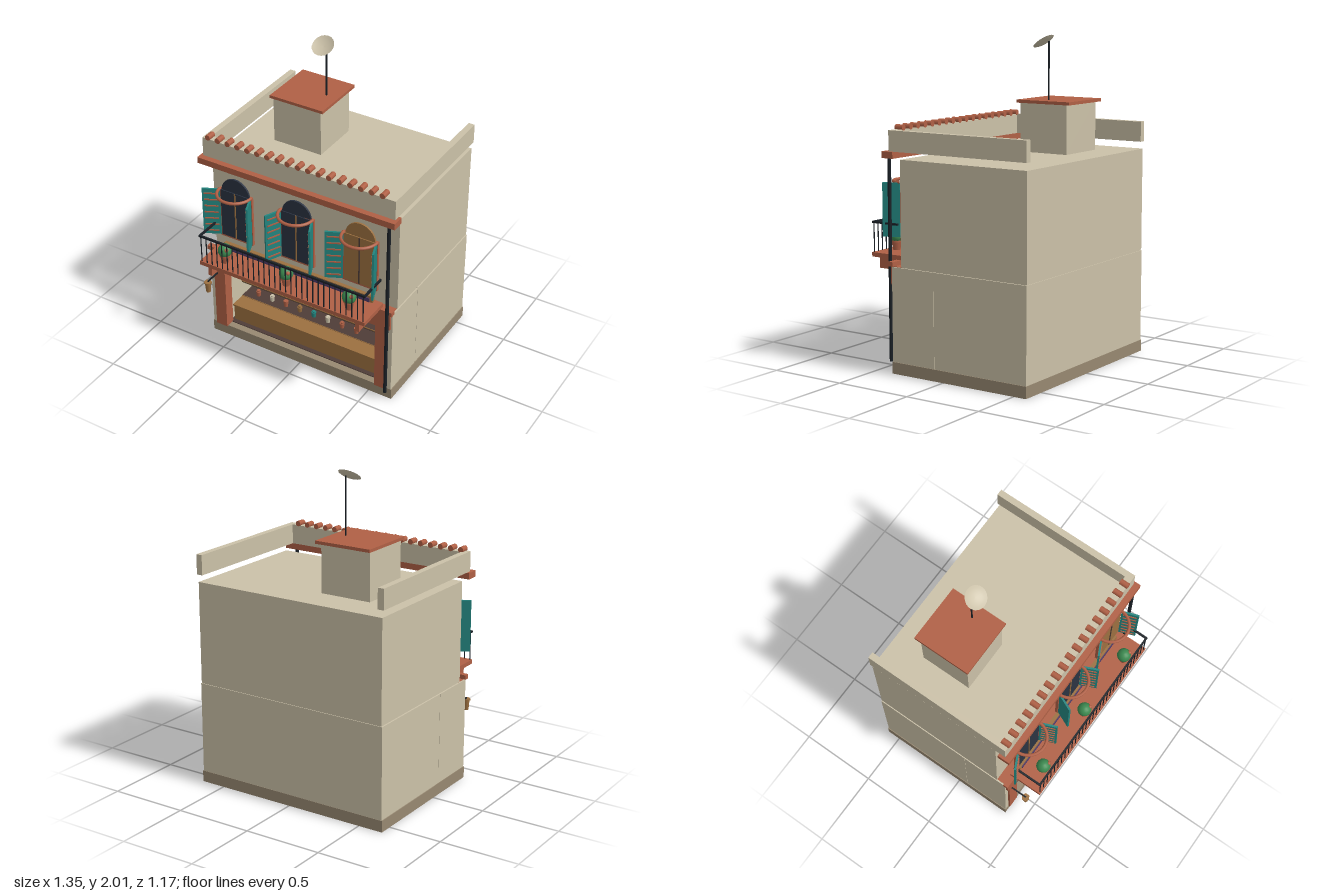
import * as THREE from 'three';

const mat = (name, color, side = THREE.FrontSide) => {
  const m = new THREE.MeshStandardMaterial({ color, side });
  m.name = name;
  return m;
};

export function createModel() {
  const cream = mat('cream plaster', 0xcbc1a8, THREE.DoubleSide);
  const clay = mat('terracotta', 0xb06045);
  const teal = mat('teal paint', 0x23857f);
  const glass = mat('dark glass', 0x2b3342);
  const wood = mat('ochre wood', 0x9c7040);
  const brown = mat('dark brown', 0x4f3d37);
  const green = mat('leaf green', 0x3c8a50);
  const purple = mat('purple cloth', 0x4f3a68);
  const iron = mat('black iron', 0x1a2026);
  const stone = mat('stone', 0x978871);

  const root = new THREE.Group();
  root.name = 'shopHouse';

  const add = (name, geo, material, x = 0, y = 0, z = 0, parent = root) => {
    const m = new THREE.Mesh(geo, material);
    m.name = name;
    m.position.set(x, y, z);
    parent.add(m);
    return m;
  };
  // Box given by its limits on each axis
  const box = (name, material, x0, x1, y0, y1, z0, z1, parent = root) =>
    add(name, new THREE.BoxGeometry(x1 - x0, y1 - y0, z1 - z0), material,
      (x0 + x1) / 2, (y0 + y1) / 2, (z0 + z1) / 2, parent);
  const cyl = (name, material, rTop, rBottom, y0, y1, x, z, sides = 10, parent = root) =>
    add(name, new THREE.CylinderGeometry(rTop, rBottom, y1 - y0, sides), material, x, (y0 + y1) / 2, z, parent);

  // Main masses
  box('base', stone, -0.66, 0.66, 0, 0.072, -0.585, 0.375);
  box('lowerBody', cream, -0.655, 0.655, 0.072, 0.65, -0.583, 0.065);
  box('upperBody', cream, -0.65, 0.65, 0.655, 1.295, -0.583, 0.31);
  box('floorJoint', cream, -0.645, 0.645, 0.65, 0.655, -0.578, 0.31);
  for (const s of [-1, 1]) {
    const a = s < 0 ? -0.655 : 0.56, b = s < 0 ? -0.56 : 0.655;
    box('shopSideWall', cream, a, b, 0.072, 0.65, 0.067, 0.33);
    box('wallEnd', cream, s < 0 ? -0.655 : 0.615, s < 0 ? -0.615 : 0.655, 0.072, 0.65, 0.33, 0.375);
    box('shopPillar', clay, s < 0 ? -0.625 : 0.545, s < 0 ? -0.545 : 0.625, 0.072, 0.54, 0.32, 0.388);
    box('sideParapet', cream, s < 0 ? -0.66 : 0.62, s < 0 ? -0.62 : 0.66, 1.34, 1.465, -0.585, 0.34);
  }
  box('lintel', clay, -0.645, 0.645, 0.54, 0.653, 0.305, 0.39);
  box('stringCourse', clay, -0.66, 0.66, 0.652, 0.68, 0.365, 0.398);
  box('frontParapet', cream, -0.66, 0.66, 1.34, 1.465, 0.34, 0.387);
  box('cornice', clay, -0.677, 0.677, 1.3, 1.34, 0.345, 0.425);

  // Row of roof tiles
  const tile = new THREE.CylinderGeometry(0.018, 0.018, 0.056, 10).rotateX(Math.PI / 2);
  for (let i = 0; i < 18; i++) add('roofTile', tile, clay, -0.618 + i * 1.194 / 17, 1.476, 0.366);

  // Roof hut with dish
  box('roofHut', cream, -0.43, -0.095, 1.295, 1.596, -0.37, -0.04);
  box('roofHutCap', clay, -0.447, -0.073, 1.595, 1.614, -0.4, -0.025);
  cyl('antennaPole', iron, 0.005, 0.005, 1.614, 1.97, -0.155, -0.205, 8);
  const dishPoints = [0, 0.02, 0.04, 0.055, 0.07].map(r => new THREE.Vector2(r, r * r * 3.2 - 0.008));
  const dish = add('dish', new THREE.LatheGeometry(dishPoints, 20), cream, -0.155, 1.962, -0.17);
  dish.rotation.x = 0.6;

  // Shop interior
  box('shopBackPanel', brown, -0.56, 0.56, 0.075, 0.62, 0.066, 0.074);
  box('shopFloor', brown, -0.56, 0.56, 0.07, 0.077, 0.07, 0.33);
  box('counter', wood, -0.545, 0.545, 0.075, 0.19, 0.18, 0.3);
  box('counterTop', wood, -0.548, 0.548, 0.19, 0.2, 0.17, 0.31);
  const goods = [
    [clay, cream, clay, wood, teal, cream, clay, clay],
    [wood, clay, clay, cream, clay, wood, clay, teal],
    [teal, cream, clay, wood, clay, teal, cream, clay],
  ];
  goods.forEach((row, r) => {
    const y = 0.2 + r * 0.12;
    box('shelf', brown, -0.55, 0.55, y - 0.012, y + 0.002, 0.072, 0.2);
    box('shelfEdge', wood, -0.55, 0.55, y - 0.004, y + 0.003, 0.2, 0.204);
    row.forEach((m, i) => {
      const x = -0.455 + i * 0.105;
      cyl('jar', m, 0.017, 0.013, y + 0.002, y + 0.036 + (i % 3) * 0.004, x, 0.15, 8);
      cyl('jarLid', m, 0.011, 0.011, y + 0.034, y + 0.047, x, 0.15, 8);
    });
  });

  // Sign board over the shop
  box('signBoard', wood, -0.53, 0.53, 0.6, 0.75, 0.375, 0.399);
  box('signFace', purple, -0.51, 0.51, 0.613, 0.735, 0.396, 0.404);

  // Balcony
  box('balconySlab', clay, -0.583, 0.583, 0.68, 0.707, 0.365, 0.585);
  for (const x of [-0.523, 0.523]) box('balconyBracket', clay, x - 0.013, x + 0.013, 0.605, 0.68, 0.39, 0.565);
  box('frontRail', iron, -0.583, 0.583, 0.886, 0.898, 0.572, 0.584);
  for (const x of [-0.577, 0.577]) box('sideRail', iron, x - 0.006, x + 0.006, 0.886, 0.898, 0.39, 0.575);
  for (let i = 0; i < 31; i++) cyl('baluster', iron, 0.0035, 0.0035, 0.705, 0.89, -0.57 + i * 0.038, 0.578, 6);

  // Arched windows with shutters
  const arch = new THREE.CylinderGeometry(0.1, 0.1, 0.012, 24, 1, false, Math.PI / 2, Math.PI).rotateX(Math.PI / 2);
  const hood = new THREE.TorusGeometry(0.112, 0.01, 8, 20, Math.PI).rotateX(Math.PI / 2);
  const makeShutter = (side, angle, parent) => {
    const g = new THREE.Group();
    g.name = side < 0 ? 'rightShutter' : 'leftShutter';
    g.position.set(side * 0.11, 0, 0.395);
    g.rotation.y = -side * angle;
    const x0 = side < 0 ? -0.11 : 0, x1 = x0 + 0.11;
    box('shutterPanel', teal, x0, x1, 0.812, 1.14, -0.006, 0.006, g);
    for (let i = 0; i < 7; i++) {
      const y = 0.835 + i * 0.045;
      box('shutterSlat', clay, x0 + 0.012, x1 - 0.012, y, y + 0.008, 0.005, 0.011, g);
    }
    parent.add(g);
  };
  [[-0.435, 0.45, 1.18, glass], [0, 1.15, 1.15, glass], [0.435, 0.45, 1.22, wood]].forEach(([x, a, b, pane]) => {
    const w = new THREE.Group();
    w.name = 'window';
    w.position.x = x;
    root.add(w);
    box('windowFrame', clay, -0.118, 0.118, 0.797, 1.143, 0.372, 0.39, w);
    box('windowPane', pane, -0.104, 0.104, 0.812, 1.14, 0.388, 0.396, w);
    box('windowMullion', pane === wood ? brown : wood, -0.004, 0.004, 0.812, 1.14, 0.394, 0.4, w);
    const top = add('windowArch', arch, pane, 0, 1.135, 0.384, w);
    // keep the half disc above the frame
    top.rotation.z = archTurn(arch);
    add('windowHood', hood, clay, 0, 1.142, 0.39, w);
    makeShutter(-1, a, w);
    makeShutter(1, b, w);
  });

  // Potted plants
  for (const x of [-0.443, 0, 0.437]) {
    const g = new THREE.Group();
    g.name = 'pottedPlant';
    g.position.set(x, 0, 0.512);
    root.add(g);
    cyl('pot', clay, 0.033, 0.022, 0.707, 0.765, 0, 0, 12, g);
    cyl('potRim', clay, 0.036, 0.036, 0.758, 0.77, 0, 0, 12, g);
    add('foliage', new THREE.SphereGeometry(0.044, 14, 10), green, 0, 0.793, 0, g);
    add('flower', new THREE.SphereGeometry(0.013, 8, 6), clay, 0.027, 0.815, 0.022, g);
  }

  // Drainpipe and hanging lantern
  cyl('drainpipe', iron, 0.011, 0.011, 0.065, 1.3, 0.632, 0.405, 10);
  box('lanternArm', iron, -0.604, -0.596, 0.478, 0.486, 0.375, 0.495);
  cyl('lanternBody', wood, 0.02, 0.015, 0.405, 0.47, -0.6, 0.493, 6);
  cyl('lanternLid', wood, 0.026, 0.026, 0.467, 0.478, -0.6, 0.493, 6);
  return root;
}

// Turn that brings the middle of a half disc to the top
function archTurn(geo) {
  geo.computeBoundingBox();
  return geo.boundingBox.max.y > 0.05 ? 0 : Math.PI;
}
